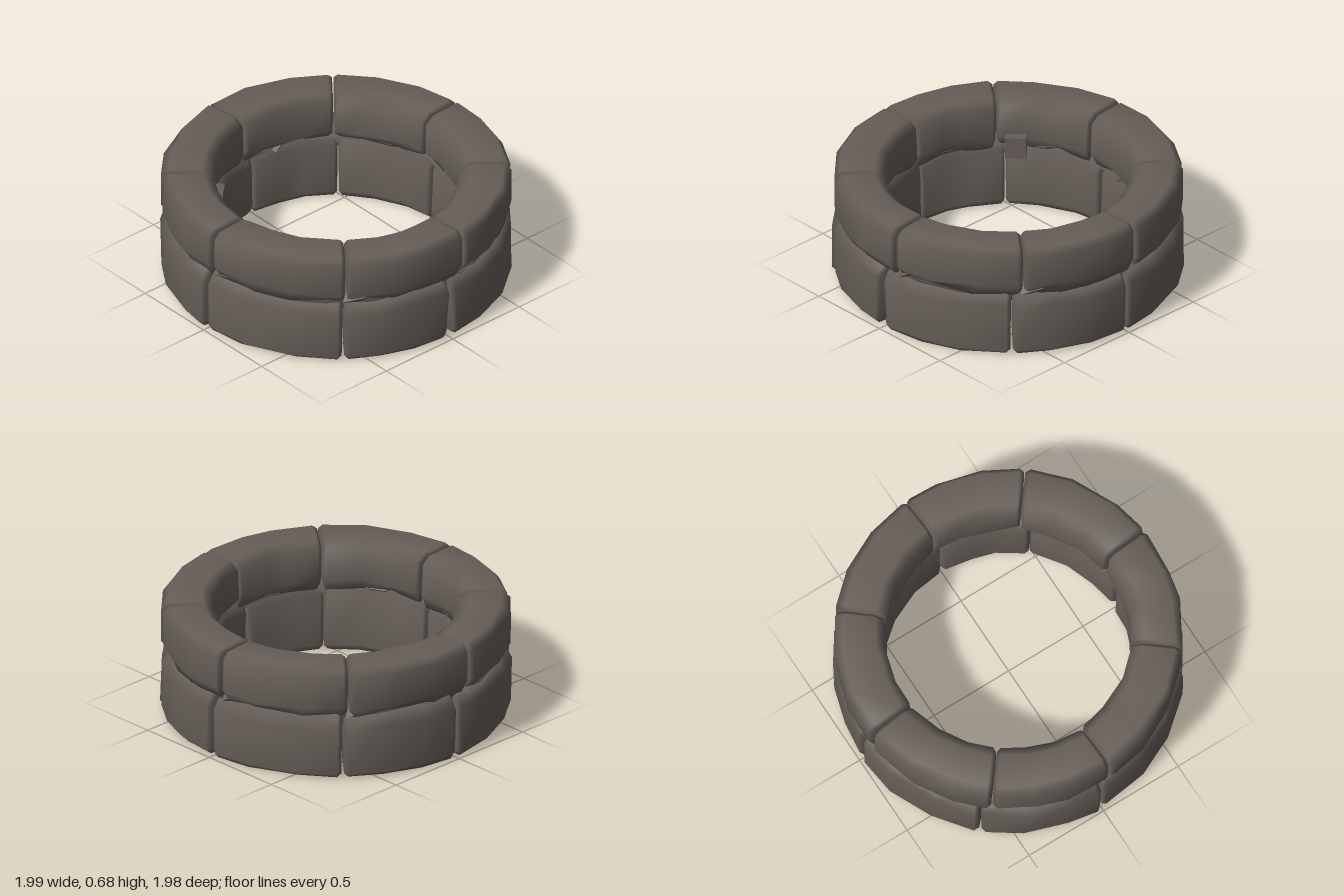
import * as THREE from 'three';

const rad = THREE.MathUtils.degToRad;

// Small seeded generator for the weathering
let seed = 11;
function rnd() {
  seed = (seed * 16807) % 2147483647;
  return (seed / 2147483647) * 2 - 1;
}

// Cross-sections as [radius, height], outer bottom -> outer top -> inner top -> inner bottom
const LOWER = [[0.96, 0.01], [0.988, 0.04], [0.993, 0.32], [0.95, 0.385], [0.77, 0.41], [0.71, 0.36], [0.70, 0.05], [0.73, 0.01]];
const UPPER = [[0.945, 0.385], [0.99, 0.45], [0.988, 0.645], [0.95, 0.685], [0.76, 0.685], [0.705, 0.645], [0.695, 0.46], [0.74, 0.385]];

// Joint angles in degrees, measured from +z towards +x
const LOWER_JOINTS = [0, 48, 90, 138, 180, 228, 270, 321, 360];
const UPPER_JOINTS = [6, 52, 94, 140, 186, 232, 273, 322, 366];

// One curved, worn block: sections swept round the ring, pinched at both ends
function stoneGeometry(profile, a0, a1, gap0, gap1) {
  const n = profile.length;
  const cy = (profile[0][1] + profile[3][1]) / 2;
  const top = profile[3][1];
  const bottom = profile[0][1];
  // [fraction along the stone, end inset in radians, section scale]
  const stations = [[0, 0.004, 0.9], [0, 0.03, 1], [0.34, 0, 1], [0.66, 0, 1], [1, -0.03, 1], [1, -0.004, 0.9]];
  const pos = [];
  const index = [];
  const add = (r, y, a) => pos.push(r * Math.sin(a), y, r * Math.cos(a));

  stations.forEach(([f, inset, s], i) => {
    const worn = i > 0 && i < 5;
    const swing = worn ? rnd() * 0.03 : 0;
    profile.forEach(([r, y]) => {
      // joints open towards the bottom
      const open = (1 - (y - bottom) / (top - bottom)) * (f === 0 ? gap0 : f === 1 ? -gap1 : 0);
      const a = a0 + (a1 - a0) * f + inset + open + (f > 0 && f < 1 ? swing + rnd() * 0.03 : 0);
      let rr = 0.845 + (r - 0.845) * s;
      let yy = cy + (y - cy) * s;
      if (worn) {
        rr += rnd() * 0.009;
        if (y > 0.3 && y < 0.5) yy += rnd() * 0.022;
      }
      add(Math.min(rr, 0.998), yy, a);
    });
  });

  for (let i = 0; i < stations.length - 1; i++) {
    for (let j = 0; j < n; j++) {
      const k = (j + 1) % n;
      const A = i * n + j, B = A + n, C = (i + 1) * n + k, D = i * n + k;
      index.push(A, B, C, A, C, D);
    }
  }
  // End faces
  const last = (stations.length - 1) * n;
  const c0 = pos.length / 3;
  add(0.845, cy, a0 + 0.004);
  add(0.845, cy, a1 - 0.004);
  for (let j = 0; j < n; j++) {
    const k = (j + 1) % n;
    index.push(c0, j, k, c0 + 1, last + k, last + j);
  }

  const geo = new THREE.BufferGeometry();
  geo.setAttribute('position', new THREE.Float32BufferAttribute(pos, 3));
  geo.setIndex(index);
  geo.computeVertexNormals();
  return geo;
}

function course(name, profile, joints, material) {
  const group = new THREE.Group();
  group.name = name;
  for (let i = 0; i < joints.length - 1; i++) {
    const gap = (j) => (joints[j] % 360 === 0 ? 0.025 : 0.004);
    const geo = stoneGeometry(profile, rad(joints[i]), rad(joints[i + 1]), gap(i), gap(i + 1));
    const stone = new THREE.Mesh(geo, material);
    stone.name = name + 'Stone' + (i + 1);
    group.add(stone);
  }
  return group;
}

// Sharp splinter lying in the seam between the courses
function shard(angle, radius, y, size, material) {
  const mesh = new THREE.Mesh(new THREE.TetrahedronGeometry(1), material);
  mesh.name = 'seamShard';
  mesh.position.set(radius * Math.sin(angle), y, radius * Math.cos(angle));
  mesh.rotation.set(rnd() * 0.4, angle, rnd() * 0.5);
  mesh.scale.set(size * 1.8, size * 0.7, size * 0.6);
  return mesh;
}

export function createModel() {
  const stone = new THREE.MeshStandardMaterial({ color: 0x665e58 });
  stone.name = 'dark stone';

  const model = new THREE.Group();
  model.name = 'stoneRing';
  model.add(course('lowerCourse', LOWER, LOWER_JOINTS, stone));
  model.add(course('upperCourse', UPPER, UPPER_JOINTS, stone));

  // Mortar core closing the seam between courses
  const core = new THREE.Mesh(
    new THREE.LatheGeometry([[0.74, 0.34], [0.94, 0.34], [0.94, 0.44], [0.74, 0.44], [0.74, 0.34]]
      .map(([r, y]) => new THREE.Vector2(r, y)), 24),
    stone);
  core.name = 'seamCore';
  model.add(core);

  // Splinters near the joints, outside and inside
  UPPER_JOINTS.slice(0, 8).forEach((deg) => {
    model.add(shard(rad(deg + 3), 0.94, 0.405, 0.06, stone));
    model.add(shard(rad(deg + 24), 0.74, 0.405, 0.06, stone));
  });

  // Small block standing out of the inner wall
  const a = rad(223);
  const block = new THREE.Mesh(new THREE.BoxGeometry(0.12, 0.13, 0.12), stone);
  block.name = 'innerBlock';
  block.position.set(0.7 * Math.sin(a), 0.42, 0.7 * Math.cos(a));
  block.rotation.y = a;
  model.add(block);

  return model;
}
